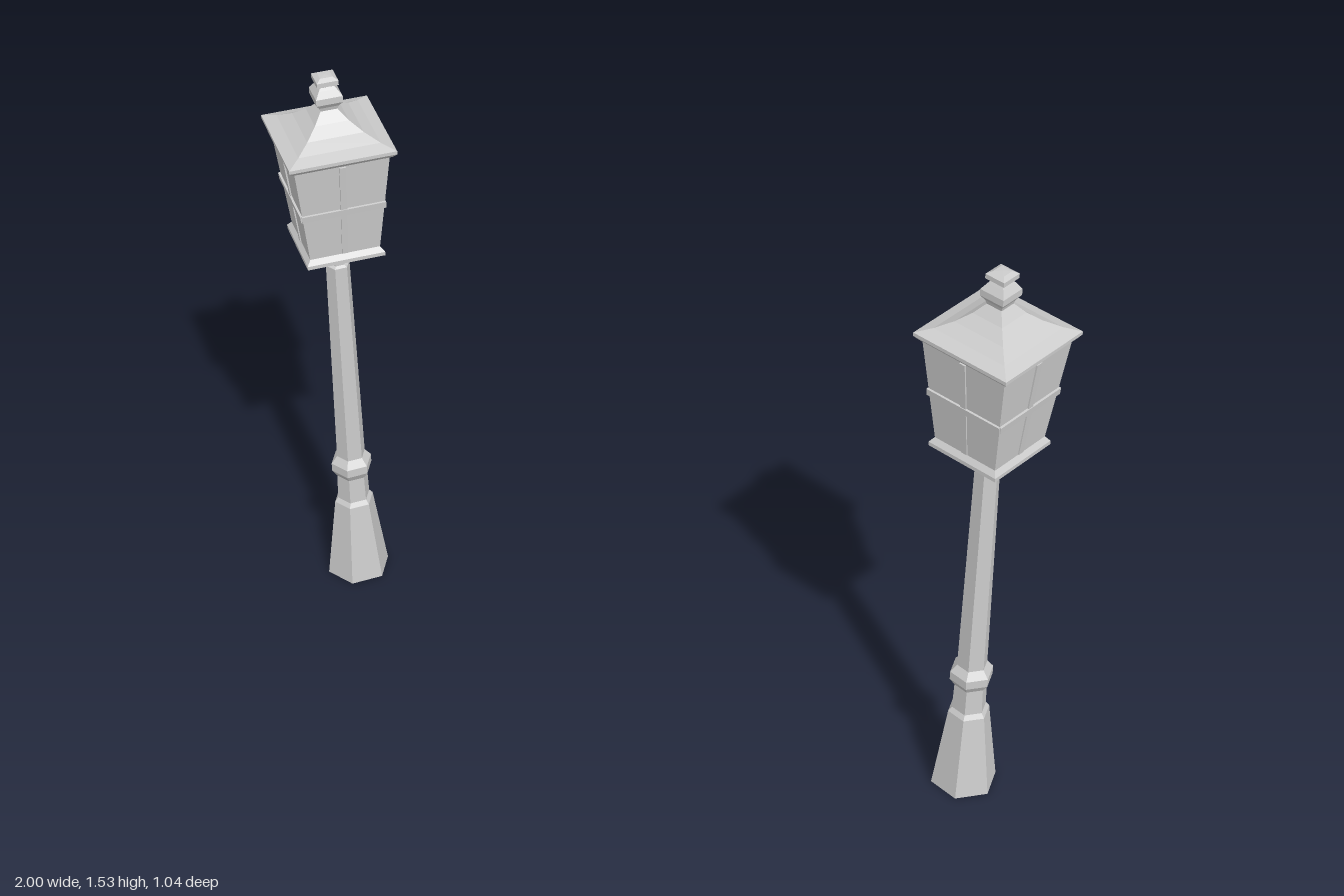
import * as THREE from 'three';

const metal = new THREE.MeshStandardMaterial({ color: 0xcccccc, flatShading: true, side: THREE.DoubleSide });
const rad = THREE.MathUtils.degToRad;

// Faceted shell: profile of [radius, y], starting at +x and turning towards +z
function shell(name, profile, faces, degrees) {
  const points = profile.map(([r, y]) => new THREE.Vector2(r, y));
  const geometry = new THREE.LatheGeometry(points, faces, rad(90 - degrees), rad(degrees));
  const mesh = new THREE.Mesh(geometry, metal);
  mesh.name = name;
  return mesh;
}

function bar(name, w, h, d, x, y) {
  const mesh = new THREE.Mesh(new THREE.BoxGeometry(w, h, d), metal);
  mesh.name = name;
  mesh.position.set(x, y, 0);
  mesh.rotation.z = -0.114;
  return mesh;
}

// Six-sided post with one open face at the back
function createPost() {
  const post = new THREE.Group();
  post.name = 'post';
  post.add(
    shell('base', [[0.083, 0], [0.052, 0.23], [0.043, 0.242]], 5, 300),
    shell('lowerShaft', [[0.043, 0.242], [0.041, 0.315]], 5, 300),
    shell('collar', [[0.041, 0.315], [0.054, 0.335], [0.054, 0.358], [0.038, 0.378]], 5, 300),
    shell('shaft', [[0.038, 0.378], [0.031, 0.98], [0.023, 0.985]], 5, 300),
    shell('neck', [[0.023, 0.98], [0.023, 1.04]], 5, 300),
  );
  return post;
}

// Four-sided lantern: only the two front walls are closed
function createLantern() {
  const lantern = new THREE.Group();
  lantern.name = 'lantern';
  lantern.add(
    shell('flare', [[0.03, 0.99], [0.045, 1.005], [0.075, 1.02], [0.12, 1.037], [0.14, 1.045],
      [0.14, 1.055], [0.126, 1.068]], 2, 180),
    shell('panes', [[0.126, 1.068], [0.168, 1.34]], 2, 180),
    shell('cornice', [[0.168, 1.34], [0.178, 1.345], [0.19, 1.355], [0.19, 1.364]], 2, 180),
    shell('roof', [[0.19, 1.364], [0.145, 1.376], [0.1, 1.394], [0.06, 1.417], [0.03, 1.442]], 4, 360),
    shell('finial', [[0.03, 1.442], [0.034, 1.452], [0.047, 1.465], [0.047, 1.482], [0.032, 1.498],
      [0.025, 1.505], [0.038, 1.511], [0.038, 1.523], [0.022, 1.53], [0, 1.531]], 4, 360),
  );
  // Glazing bars on each wall
  for (const angle of [45, 135]) {
    const bars = new THREE.Group();
    bars.name = 'glazingBars';
    bars.add(
      bar('crossBar', 0.01, 0.018, 0.212, 0.104, 1.2),
      bar('uprightBar', 0.008, 0.27, 0.016, 0.1035, 1.204),
    );
    bars.rotation.y = rad(-angle);
    lantern.add(bars);
  }
  return lantern;
}

function createLamp(name, x, z, lanternTurn, postTurn) {
  const lamp = new THREE.Group();
  lamp.name = name;
  const post = createPost();
  post.rotation.y = rad(-postTurn);
  const lantern = createLantern();
  lantern.rotation.y = rad(-lanternTurn);
  lamp.add(post, lantern);
  lamp.position.set(x, 0, z);
  return lamp;
}

export function createModel() {
  const model = new THREE.Group();
  model.name = 'streetLamps';
  model.add(
    createLamp('leftLamp', 0.807, 0.328, -6, 283),
    createLamp('rightLamp', -0.822, -0.345, 20, 332),
  );
  return model;
}
